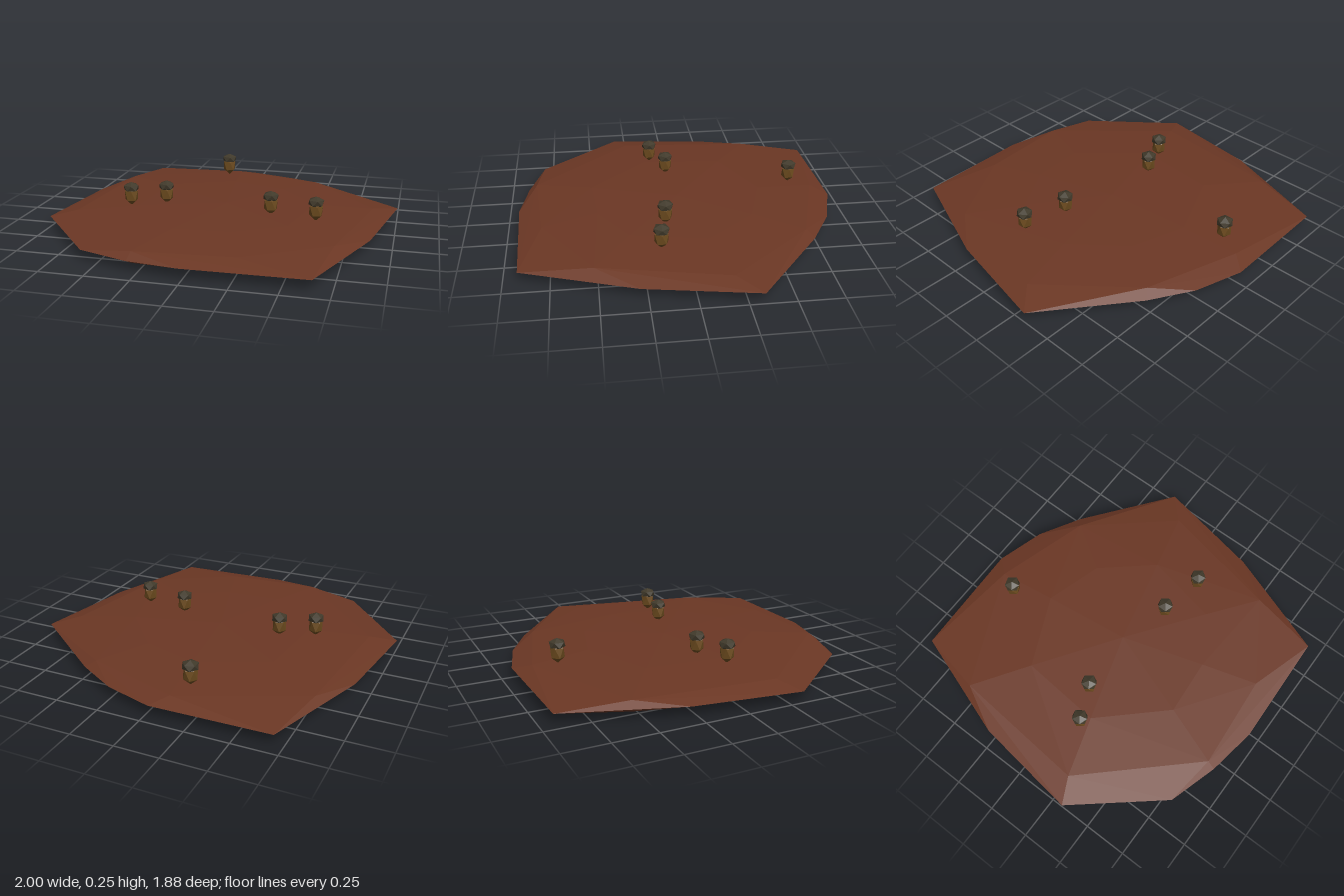
import * as THREE from 'three';
import { ConvexGeometry } from 'three/addons/geometries/ConvexGeometry.js';

const soil = new THREE.MeshStandardMaterial({ color: 0x6b3724, flatShading: true });
soil.name = 'soil brown';
const nut = new THREE.MeshStandardMaterial({ color: 0x6b4a1e, flatShading: true });
nut.name = 'nut brown';
const husk = new THREE.MeshStandardMaterial({ color: 0x40392a, flatShading: true });
husk.name = 'husk olive';

// Low-poly blob standing on one vertex, stretched to a radius and half height
function blob(radius, halfHeight) {
  const g = new THREE.IcosahedronGeometry(1, 0);
  g.rotateZ(-Math.atan(2 / (1 + Math.sqrt(5))));
  return g.scale(radius / 0.894, halfHeight, radius / 0.894);
}

// Thin faceted slab: rim corners plus shallow domes above and below
function createSlab() {
  const rim = [
    [-0.7, 0.065, -0.93], [-0.02, 0.068, -0.945], [0.26, 0.068, -0.86], [0.5, 0.068, -0.72],
    [1, 0.068, -0.33], [0.88, 0.065, 0.29], [0.65, 0.065, 0.92], [-0.02, 0.068, 0.94],
    [-0.31, 0.062, 0.89], [-0.6, 0.065, 0.8], [-1, 0.068, 0.32], [-0.92, 0.068, -0.29],
  ];
  const upper = [
    [-0.78, 0.098, -0.55], [-0.1, 0.098, -0.85], [0.45, 0.1, -0.68], [0.86, 0.095, -0.2],
    [0.71, 0.102, 0.52], [0.25, 0.1, 0.8], [-0.3, 0.099, 0.84], [-0.85, 0.098, 0.25],
  ];
  const points = [...rim];
  for (const [x, y, z] of upper) {
    points.push([x, y, z], [x, 0.134 - y, z]);
    points.push([x * 0.6, 0.12, z * 0.6], [x * 0.6, 0.014, z * 0.6]);
  }
  points.push([0, 0.129, 0], [0, 0.005, 0]);
  // Drop the slab so its lowest point rests on the ground
  const geometry = new ConvexGeometry(points.map((p) => new THREE.Vector3(...p)));
  geometry.translate(0, -0.005, 0);
  const slab = new THREE.Mesh(geometry, soil);
  slab.name = 'groundSlab';
  return slab;
}

export function createModel() {
  const model = new THREE.Group();
  model.name = 'acornsOnGround';
  model.add(createSlab());

  // Five acorns, each a pointed nut under a flat cap
  const nutGeometry = blob(0.04, 0.063);
  const capGeometry = blob(0.045, 0.033);
  const spots = [[-0.56, 0.115], [-0.365, 0.03], [-0.155, -0.72], [0.29, 0.1], [0.56, 0.15]];
  for (const [x, z] of spots) {
    const acorn = new THREE.Group();
    acorn.name = 'acorn';
    const body = new THREE.Mesh(nutGeometry, nut);
    body.name = 'acornNut';
    body.position.y = 0.167;
    const cap = new THREE.Mesh(capGeometry, husk);
    cap.name = 'acornCap';
    cap.position.y = 0.214;
    acorn.add(body, cap);
    acorn.position.set(x, 0, z);
    model.add(acorn);
  }
  return model;
}
